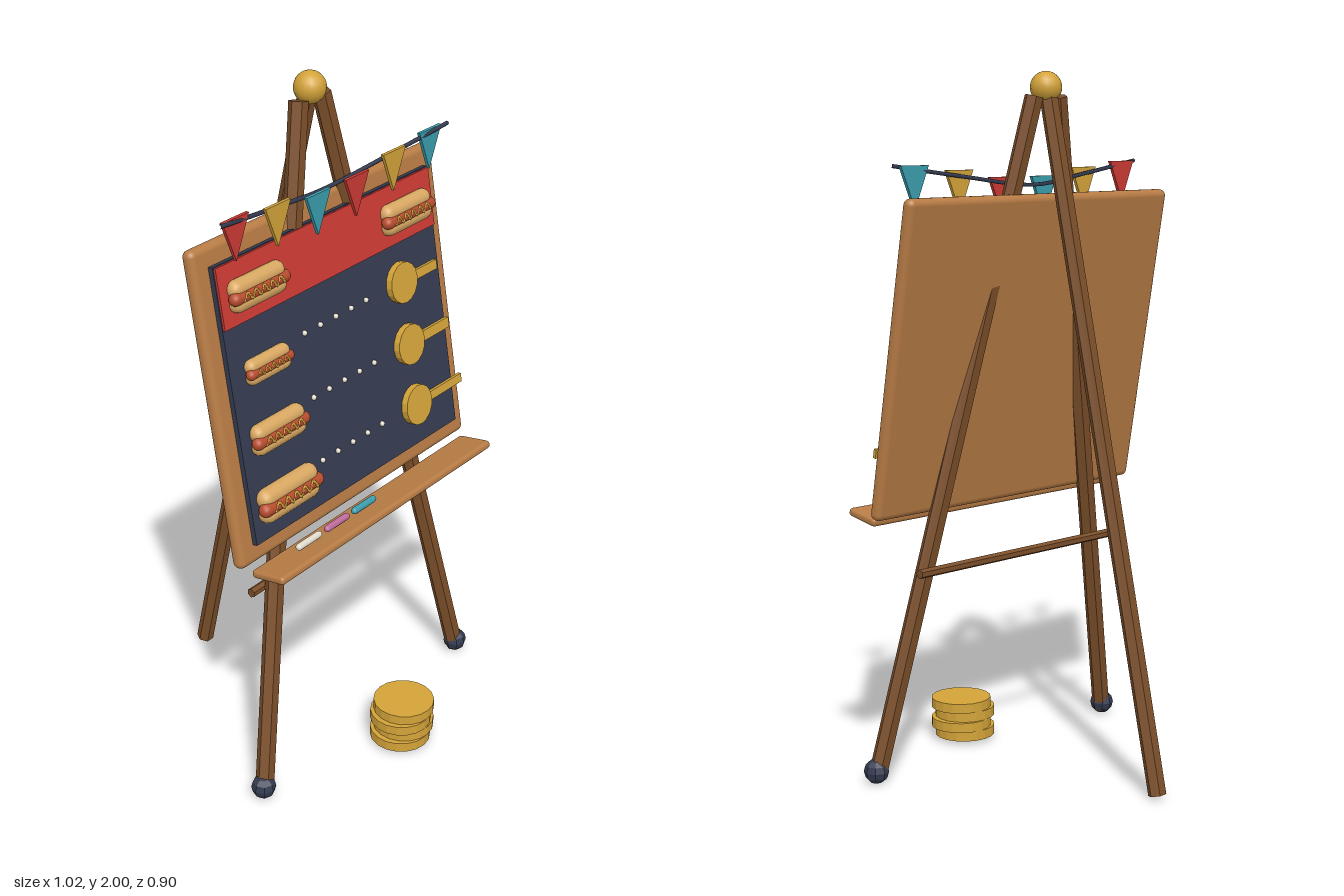
import * as THREE from 'three';
import { RoundedBoxGeometry } from 'three/addons/geometries/RoundedBoxGeometry.js';

const mat = (name, color) => {
  const m = new THREE.MeshStandardMaterial({ color });
  m.name = name;
  return m;
};

export function createModel() {
  const M = {
    darkWood: mat('dark wood', 0x7c4f2a),
    lightWood: mat('light wood', 0xb87c45),
    slate: mat('slate', 0x343b50),
    red: mat('red', 0xcc3a34),
    gold: mat('gold', 0xd3a339),
    teal: mat('teal', 0x3b9dae),
    bun: mat('bun', 0xd9a862),
    sausage: mat('sausage', 0xb84c2d),
    cream: mat('cream', 0xe2dccd),
    pink: mat('pink', 0xbf6c9c),
  };
  const model = new THREE.Group();
  model.name = 'menuEasel';
  const TILT = -Math.PI / 18;

  const add = (parent, name, geo, material, x = 0, y = 0, z = 0) => {
    const mesh = new THREE.Mesh(geo, material);
    mesh.name = name;
    mesh.position.set(x, y, z);
    parent.add(mesh);
    return mesh;
  };
  const faceted = (geo) => {
    const g = geo.toNonIndexed();
    g.computeVertexNormals();
    return g;
  };
  // Six-sided pole between two points
  const pole = (name, a, b, r) => {
    const from = new THREE.Vector3(...a), to = new THREE.Vector3(...b);
    const dir = to.clone().sub(from);
    const geo = new THREE.CylinderGeometry(r, r, dir.length(), 6);
    geo.rotateY(Math.PI / 6);
    const mesh = add(model, name, faceted(geo), M.darkWood);
    mesh.position.copy(from).add(to).multiplyScalar(0.5);
    mesh.quaternion.setFromUnitVectors(new THREE.Vector3(0, 1, 0), dir.normalize());
  };

  // Easel legs, feet, brace and finial
  for (const s of [-1, 1]) {
    const side = s > 0 ? 'left' : 'right';
    pole(side + 'FrontLeg', [s * 0.465, 0.02, 0.225], [s * 0.047, 1.93, 0.01], 0.027);
    add(model, side + 'Foot', faceted(new THREE.SphereGeometry(0.036, 8, 6)), M.slate, s * 0.468, 0.038, 0.225);
  }
  pole('backLeg', [0, 0.012, -0.425], [0, 1.93, 0], 0.026);
  pole('crossbar', [-0.39, 0.615, 0.12], [0.39, 0.615, 0.12], 0.0135);
  add(model, 'finial', new THREE.SphereGeometry(0.045, 16, 12), M.gold, 0, 1.955, 0.01);

  // Tilted board; localY turns a height into a position on its face
  const board = new THREE.Group();
  board.name = 'board';
  board.position.set(0, 1.218, 0.099);
  board.rotation.x = TILT;
  model.add(board);
  const localY = (y) => (y - 1.225) / Math.cos(TILT);
  add(board, 'backing', new RoundedBoxGeometry(1.02, 0.9, 0.04, 3, 0.019), M.lightWood);
  add(board, 'panel', new THREE.BoxGeometry(0.91, 0.787, 0.018), M.slate, 0, 0, 0.026);
  add(board, 'banner', new THREE.BoxGeometry(0.905, 0.17, 0.008), M.red, 0, localY(1.526), 0.038);

  // Hot dog of a given width: two bun halves, sausage and mustard wave
  const capsule = (r, length) => new THREE.CapsuleGeometry(r, length - 2 * r, 5, 12).rotateZ(Math.PI / 2);
  const hotDog = (x, y, z, width) => {
    const g = new THREE.Group();
    g.name = 'hotDog';
    g.position.set(x, localY(y), z);
    g.scale.setScalar(width / 0.225);
    board.add(g);
    for (const s of [-1, 1]) {
      add(g, s > 0 ? 'topBun' : 'bottomBun', capsule(0.025, 0.208), M.bun, 0, s * 0.02, 0.008);
    }
    add(g, 'sausage', capsule(0.0185, 0.228), M.sausage, 0, -0.002, 0.02);
    const wave = [];
    for (let i = 0; i <= 10; i++) {
      wave.push(new THREE.Vector3(-0.08 + i * 0.016, (i % 2 ? 0.01 : -0.01) - 0.002, 0.036));
    }
    add(g, 'mustard', new THREE.TubeGeometry(new THREE.CatmullRomCurve3(wave), 50, 0.004, 5), M.gold);
  };
  hotDog(-0.32, 1.52, 0.04, 0.225);
  hotDog(0.32, 1.52, 0.04, 0.225);

  // Menu rows: hot dog, dotted line, coin and price bar
  const rows = [
    { y: 1.33, width: 0.18, barEnd: 0.435, barHeight: 0.028 },
    { y: 1.145, width: 0.22, barEnd: 0.46, barHeight: 0.031 },
    { y: 0.96, width: 0.25, barEnd: 0.49, barHeight: 0.026 },
  ];
  for (const { y, width, barEnd, barHeight } of rows) {
    hotDog(-0.317, y - 0.025, 0.036, width);
    for (let i = 0; i < 5; i++) {
      add(board, 'dot', new THREE.SphereGeometry(0.008, 8, 6), M.cream, -0.153 + i * 0.067, localY(y), 0.038);
    }
    const coin = faceted(new THREE.CylinderGeometry(0.06, 0.06, 0.02, 16).rotateX(Math.PI / 2));
    add(board, 'priceCoin', coin, M.gold, 0.27, localY(y), 0.046);
    add(board, 'priceBar', new THREE.BoxGeometry(barEnd - 0.3, barHeight, 0.01), M.gold,
      (barEnd + 0.3) / 2, localY(y), 0.042);
  }

  // Chalk tray
  const tray = new THREE.Group();
  tray.name = 'chalkTray';
  tray.position.set(0, 0.77, 0.259);
  tray.rotation.x = TILT;
  model.add(tray);
  add(tray, 'shelf', new RoundedBoxGeometry(0.965, 0.024, 0.112, 2, 0.01), M.lightWood);
  [M.cream, M.pink, M.teal].forEach((m, i) => {
    add(tray, 'chalk', capsule(0.01, 0.103), m, -0.302 + i * 0.121, 0.03, 0.002);
  });

  // Bunting string and flags
  const cord = [[-0.48, 1.745, 0.115], [-0.24, 1.712, 0.088], [0, 1.685, 0.064], [0.24, 1.712, 0.088], [0.48, 1.745, 0.115]];
  const curve = new THREE.CatmullRomCurve3(cord.map((p) => new THREE.Vector3(...p)));
  add(model, 'buntingString', new THREE.TubeGeometry(curve, 24, 0.006, 6), M.slate);
  const triangle = new THREE.Shape([[-0.05, 0], [0, -0.118], [0.05, 0]].map((p) => new THREE.Vector2(...p)));
  const flagGeo = new THREE.ExtrudeGeometry(triangle, { depth: 0.01, bevelEnabled: false });
  const tops = [1.745, 1.73, 1.708];
  const flagMats = [M.red, M.gold, M.teal];
  for (let i = 0; i < 6; i++) {
    add(model, 'flag', flagGeo, flagMats[i % 3], -0.41 + i * 0.164, tops[i < 3 ? i : 5 - i], 0.098);
  }

  // Stack of large coins on the ground
  for (let i = 0; i < 4; i++) {
    const coin = faceted(new THREE.CylinderGeometry(0.09, 0.09, 0.029, 18));
    add(model, 'groundCoin', coin, M.gold, i % 2 ? 0.015 : 0, 0.027 + i * 0.03, 0.36);
  }
  return model;
}
